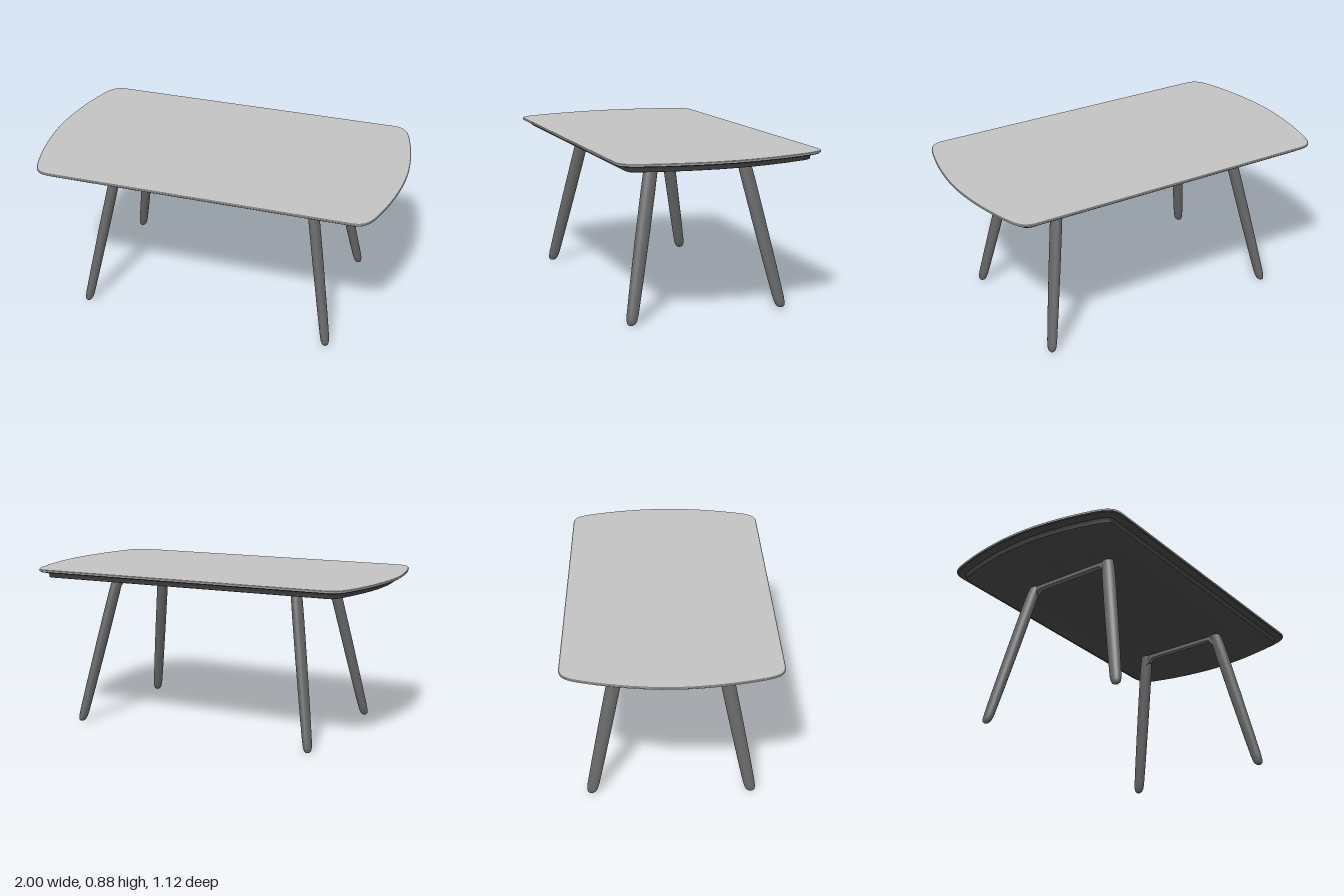
import * as THREE from 'three';
import { toCreasedNormals } from 'three/addons/utils/BufferGeometryUtils.js';

const mat = (name, color) => new THREE.MeshStandardMaterial({ name, color });

// Boat-shaped outline of the top: straight long sides, bowed ends
function outlinePoints() {
  const path = new THREE.Path();
  path.moveTo(1, 0);
  path.bezierCurveTo(1, 0.12, 0.98, 0.27, 0.945, 0.4);
  path.bezierCurveTo(0.918, 0.505, 0.9, 0.558, 0.82, 0.558);
  const q = path.getPoints(14);
  const half = [...q, ...q.slice(1).reverse().map(p => new THREE.Vector2(-p.x, p.y))];
  return [...half, ...half.slice(1, -1).reverse().map(p => new THREE.Vector2(p.x, -p.y))];
}

// Slab through a profile of [inset, y], listed from bottom to top, with flat caps
function slab(profile) {
  const pts = outlinePoints(), n = pts.length, pos = [], idx = [];
  for (const [inset, y] of profile) {
    pts.forEach((p, i) => {
      const t = pts[(i + 1) % n].clone().sub(pts[(i + n - 1) % n]).normalize();
      pos.push(p.x - t.y * inset, y, p.y + t.x * inset);
    });
  }
  const last = (profile.length - 1) * n, c = profile.length * n;
  pos.push(0, profile[0][1], 0, 0, profile[profile.length - 1][1], 0);
  for (let i = 0; i < n; i++) {
    const j = (i + 1) % n;
    for (let r = 0; r < last; r += n) {
      idx.push(r + i, r + n + i, r + j, r + j, r + n + i, r + n + j);
    }
    idx.push(c, i, j, c + 1, last + j, last + i);
  }
  const g = new THREE.BufferGeometry();
  g.setAttribute('position', new THREE.Float32BufferAttribute(pos, 3));
  g.setIndex(idx);
  return toCreasedNormals(g, 0.6);
}

// Oval leg, splayed outward by shearing so its sections stay level
function legGeometry(sx, sz) {
  const profile = [[0, 0.004], [0.013, 0.006], [0.023, 0.014], [0.029, 0.03], [0.032, 0.06],
    [0.035, 0.2], [0.038, 0.45], [0.039, 0.68], [0.038, 0.77], [0.035, 0.815], [0.033, 0.84]];
  const g = new THREE.LatheGeometry(profile.map(p => new THREE.Vector2(...p)), 28);
  g.scale(0.76, 1, 1);
  const p = g.attributes.position;
  for (let i = 0; i < p.count; i++) {
    const y = p.getY(i);
    p.setX(i, p.getX(i) + sx * (0.7 - 0.184 * y));
    p.setZ(i, p.getZ(i) + sz * (0.43 - 0.21 * y));
  }
  g.computeVertexNormals();
  return g;
}

// Thin rail joining a pair of legs, flared where it meets them
function railGeometry() {
  const s = new THREE.Shape();
  s.moveTo(-0.25, 0.84);
  s.lineTo(-0.25, 0.77);
  s.lineTo(-0.226, 0.785);
  s.quadraticCurveTo(-0.22, 0.811, -0.195, 0.811);
  s.lineTo(0.195, 0.811);
  s.quadraticCurveTo(0.22, 0.811, 0.226, 0.785);
  s.lineTo(0.25, 0.77);
  s.lineTo(0.25, 0.84);
  s.closePath();
  const g = new THREE.ExtrudeGeometry(s, { depth: 0.03, bevelEnabled: false, curveSegments: 8 });
  return g.translate(0, 0, -0.015).rotateY(Math.PI / 2);
}

export function createModel() {
  const group = new THREE.Group();
  const topGrey = mat('light grey top', 0xc2c2c2);
  const underGrey = mat('dark underside', 0x444444);
  const legGrey = mat('leg grey', 0x666666);
  const add = (name, geometry, material) => {
    const m = new THREE.Mesh(geometry, material);
    m.name = name;
    group.add(m);
    return m;
  };

  // Top: light surface above a dark, coved and stepped underside
  add('tableTop', slab([[0.001, 0.87], [0, 0.873], [0, 0.878], [0.003, 0.881]]), topGrey);
  add('underside', slab([[0.06, 0.832], [0.056, 0.834], [0.054, 0.848], [0.048, 0.858],
    [0.036, 0.863], [0.008, 0.865], [0.002, 0.87]]), underGrey);

  // Two leg frames, one at each end
  for (const sx of [1, -1]) {
    const side = sx > 0 ? 'left' : 'right';
    for (const sz of [1, -1]) {
      add(`${side}${sz > 0 ? 'Front' : 'Back'}Leg`, legGeometry(sx, sz), legGrey);
    }
    add(`${side}Rail`, railGeometry(), legGrey).position.x = sx * 0.548;
  }
  return group;
}
